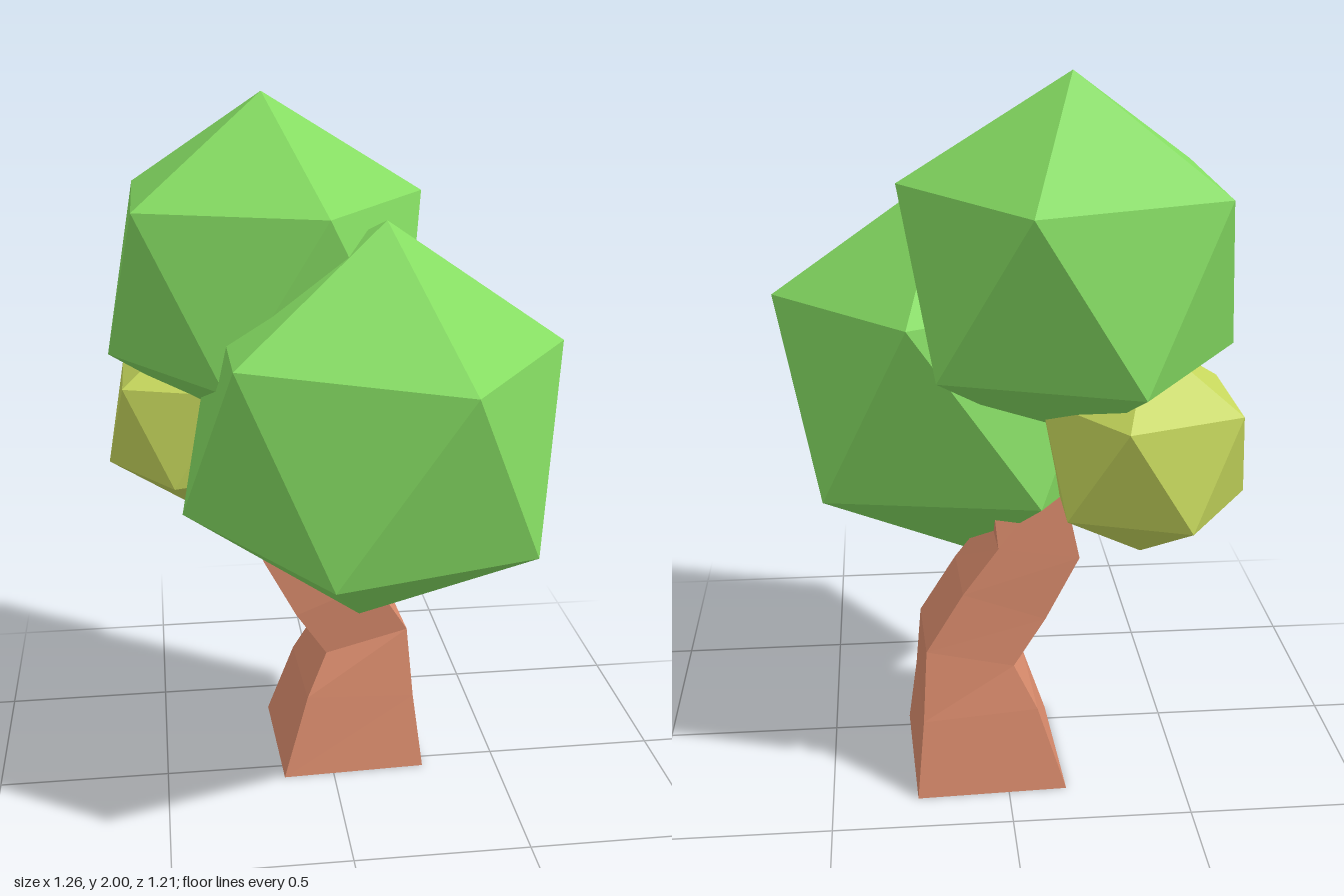
import * as THREE from 'three';

const material = (color) => new THREE.MeshStandardMaterial({ color, flatShading: true });

// Twenty-sided leaf ball standing on one corner, its axis optionally tilted
function leafBall(name, radius, center, mat, axis = [0, 1, 0], yaw = 0) {
  const geometry = new THREE.IcosahedronGeometry(radius, 0);
  geometry.rotateZ(-Math.atan(2 / (1 + Math.sqrt(5))));
  geometry.rotateY(yaw);
  const mesh = new THREE.Mesh(geometry, mat);
  mesh.name = name;
  mesh.position.set(...center);
  mesh.quaternion.setFromUnitVectors(
    new THREE.Vector3(0, 1, 0), new THREE.Vector3(...axis).normalize());
  return mesh;
}

// Crooked four-sided trunk, lofted through slanted cross-sections
function trunk(mat) {
  // xLeft, yLeft, xRight, yRight, zFront, zBack
  const sections = [
    [-0.165, 0, 0.275, 0, 0.065, -0.375],
    [-0.085, 0.24, 0.25, 0.22, 0.015, -0.325],
    [-0.02, 0.365, 0.235, 0.425, -0.03, -0.29],
    [-0.11, 0.5, 0.13, 0.59, -0.02, -0.27],
    [-0.205, 0.68, 0.03, 0.72, -0.02, -0.255],
    [-0.15, 0.93, 0.05, 0.93, -0.03, -0.235],
  ];
  const rings = sections.map(([xl, yl, xr, yr, zf, zb]) => {
    const s = 0.035 * (xr - xl); // slight twist of the square section
    return [[xl + s, yl, zf], [xr, yr, zf - s], [xr - s, yr, zb], [xl, yl, zb + s]];
  });
  const positions = [];
  const quad = (a, b, c, d) => positions.push(...a, ...b, ...c, ...a, ...c, ...d);
  for (let i = 0; i < rings.length - 1; i++) {
    for (let j = 0; j < 4; j++) {
      const k = (j + 1) % 4;
      quad(rings[i][j], rings[i][k], rings[i + 1][k], rings[i + 1][j]);
    }
  }
  const [a, b, c, d] = rings[0];
  quad(a, d, c, b);
  quad(...rings[rings.length - 1]);

  const geometry = new THREE.BufferGeometry();
  geometry.setAttribute('position', new THREE.Float32BufferAttribute(positions, 3));
  geometry.computeVertexNormals();
  const mesh = new THREE.Mesh(geometry, mat);
  mesh.name = 'trunk';
  return mesh;
}

export function createModel() {
  const tree = new THREE.Group();
  tree.name = 'tree';
  const green = material(0x85dc62);
  const yellow = material(0xc6d75c);
  const bark = material(0xd98b6c);

  tree.add(
    trunk(bark),
    leafBall('upperCrown', 0.5, [-0.17, 1.5, -0.184], green),
    leafBall('lowerCrown', 0.576, [0.1, 1.125, 0.11], green, [0.03, 0.575, 0.02], 0.02),
    leafBall('smallYellowCrown', 0.307, [-0.36, 1.04, -0.318], yellow),
  );
  return tree;
}
